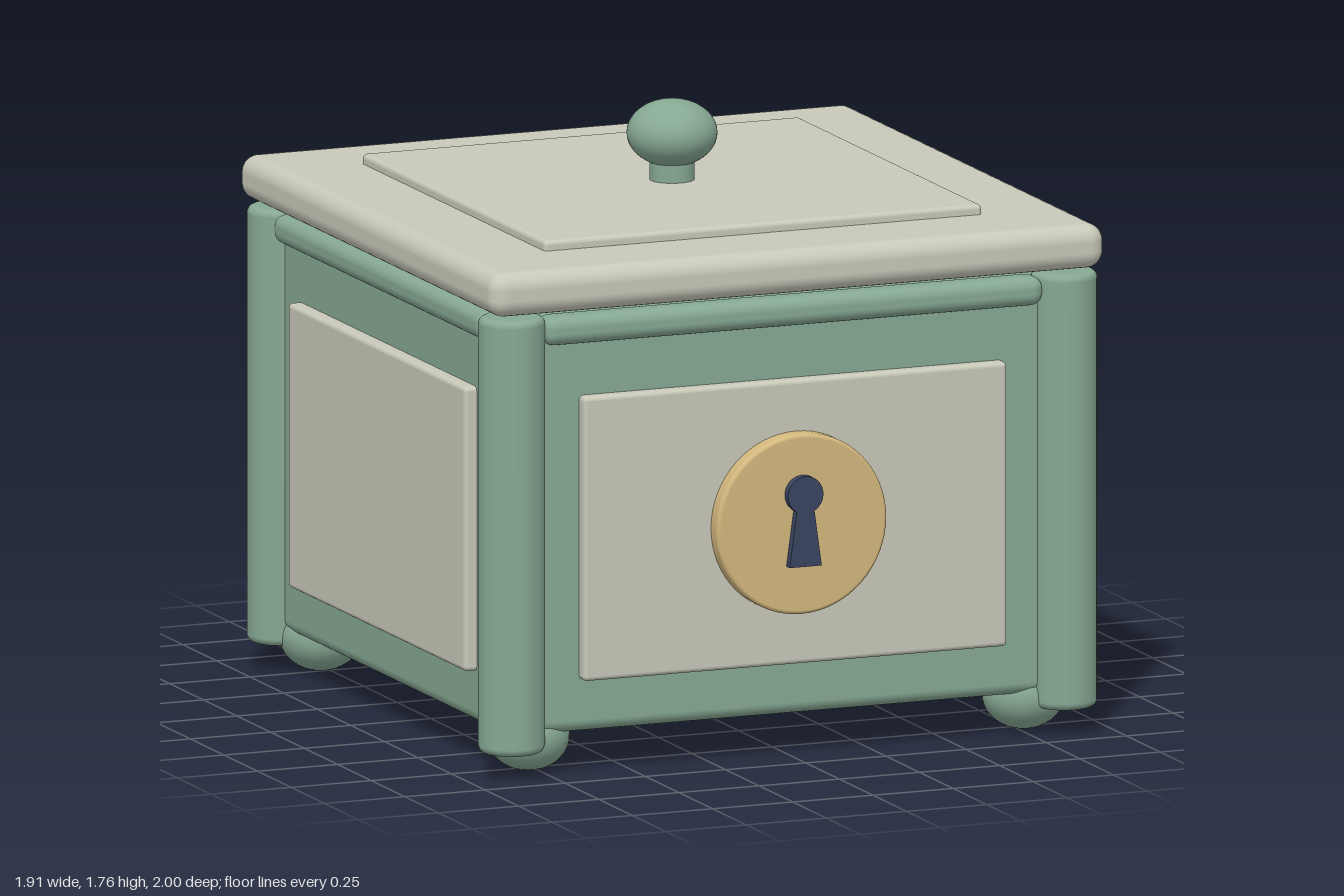
import * as THREE from 'three';
import { RoundedBoxGeometry } from 'three/addons/geometries/RoundedBoxGeometry.js';

const flat = (name, color) => {
  const m = new THREE.MeshStandardMaterial({ color });
  m.name = name;
  return m;
};

// Solid cylinder along y, centred, with rounded rims
function roundedCylinder(radius, height, bevel, sides = 40) {
  const pts = [new THREE.Vector2(0, -height / 2)];
  for (const end of [-1, 1]) {
    for (let i = 0; i <= 5; i++) {
      const a = (end < 0 ? i / 5 - 1 : i / 5) * Math.PI / 2;
      pts.push(new THREE.Vector2(
        radius - bevel + bevel * Math.cos(a),
        end * (height / 2 - bevel) + bevel * Math.sin(a)));
    }
  }
  pts.push(new THREE.Vector2(0, height / 2));
  return new THREE.LatheGeometry(pts, sides);
}

export function createModel() {
  const green = flat('sage green', 0x86a893);
  const cream = flat('warm cream', 0xc8c9b9);
  const gold = flat('soft gold', 0xd4b87e);
  const navy = flat('dark navy', 0x3b4560);

  const model = new THREE.Group();
  model.name = 'keepsakeBox';
  const box = new THREE.Group();
  box.name = 'boxParts';
  box.position.z = 0.004;
  model.add(box);

  const add = (name, geometry, material, x = 0, y = 0, z = 0, parent = box) => {
    const mesh = new THREE.Mesh(geometry, material);
    mesh.name = name;
    mesh.position.set(x, y, z);
    parent.add(mesh);
    return mesh;
  };
  const rounded = (w, h, d, r) => new RoundedBoxGeometry(w, h, d, 4, r);

  // Body
  add('body', rounded(1.77, 1.215, 1.77, 0.035), green, 0, 0.7325, 0);

  // Corner posts and bun feet
  const postGeo = roundedCylinder(0.096, 1.28, 0.022);
  const footGeo = new THREE.SphereGeometry(0.12, 32, 20).scale(1, 0.84, 1);
  for (const x of [-1, 1]) for (const z of [-1, 1]) {
    add('cornerPost', postGeo, green, x * 0.861, 0.72, z * 0.861);
    add('foot', footGeo, green, x * 0.772, 0.105, z * 0.772);
  }

  // Top rail and raised panel on each of the four sides
  const railGeo = rounded(1.555, 0.085, 0.1, 0.035);
  const panelGeo = rounded(1.32, 0.835, 0.08, 0.014);
  ['front', 'left', 'back', 'right'].forEach((side, i) => {
    const wall = new THREE.Group();
    wall.name = side + 'Wall';
    wall.rotation.y = i * Math.PI / 2;
    box.add(wall);
    add('rail', railGeo, green, 0, 1.3125, 0.875, wall);
    add('panel', panelGeo, cream, 0, 0.6975, 0.883, wall);
  });

  // Round medallion with a raised keyhole ornament
  add('medallion', roundedCylinder(0.265, 0.07, 0.012, 64), gold, 0, 0.7, 0.936).rotation.x = Math.PI / 2;
  const hole = new THREE.Shape();
  hole.absarc(0, 0.79, 0.055, -Math.PI / 3, Math.PI * 4 / 3, false);
  hole.lineTo(-0.05, 0.58);
  hole.lineTo(0.05, 0.58);
  hole.closePath();
  add('keyhole', new THREE.ExtrudeGeometry(hole, { depth: 0.036, bevelEnabled: false, curveSegments: 24 }),
    navy, 0, 0, 0.96);

  // Lid with inner lip and raised top panel
  add('lidLip', new THREE.BoxGeometry(1.51, 0.06, 1.52), cream, 0, 1.36, 0);
  add('lid', rounded(1.914, 0.13, 1.914, 0.05), cream, 0, 1.436, 0);
  add('lidPanel', rounded(1.365, 0.06, 1.365, 0.014), cream, 0, 1.5, 0);

  // Hinge barrels
  const hingeGeo = roundedCylinder(0.052, 0.285, 0.01, 28).rotateZ(Math.PI / 2);
  for (const x of [-1, 1]) add('hinge', hingeGeo, cream, x * 0.485, 1.37, -0.952);

  // Knob
  add('knobStem', new THREE.CylinderGeometry(0.065, 0.065, 0.12, 32), green, 0, 1.55, 0);
  add('knob', new THREE.SphereGeometry(0.131, 40, 24).scale(1, 0.745, 1), green, 0, 1.667, 0);

  return model;
}
